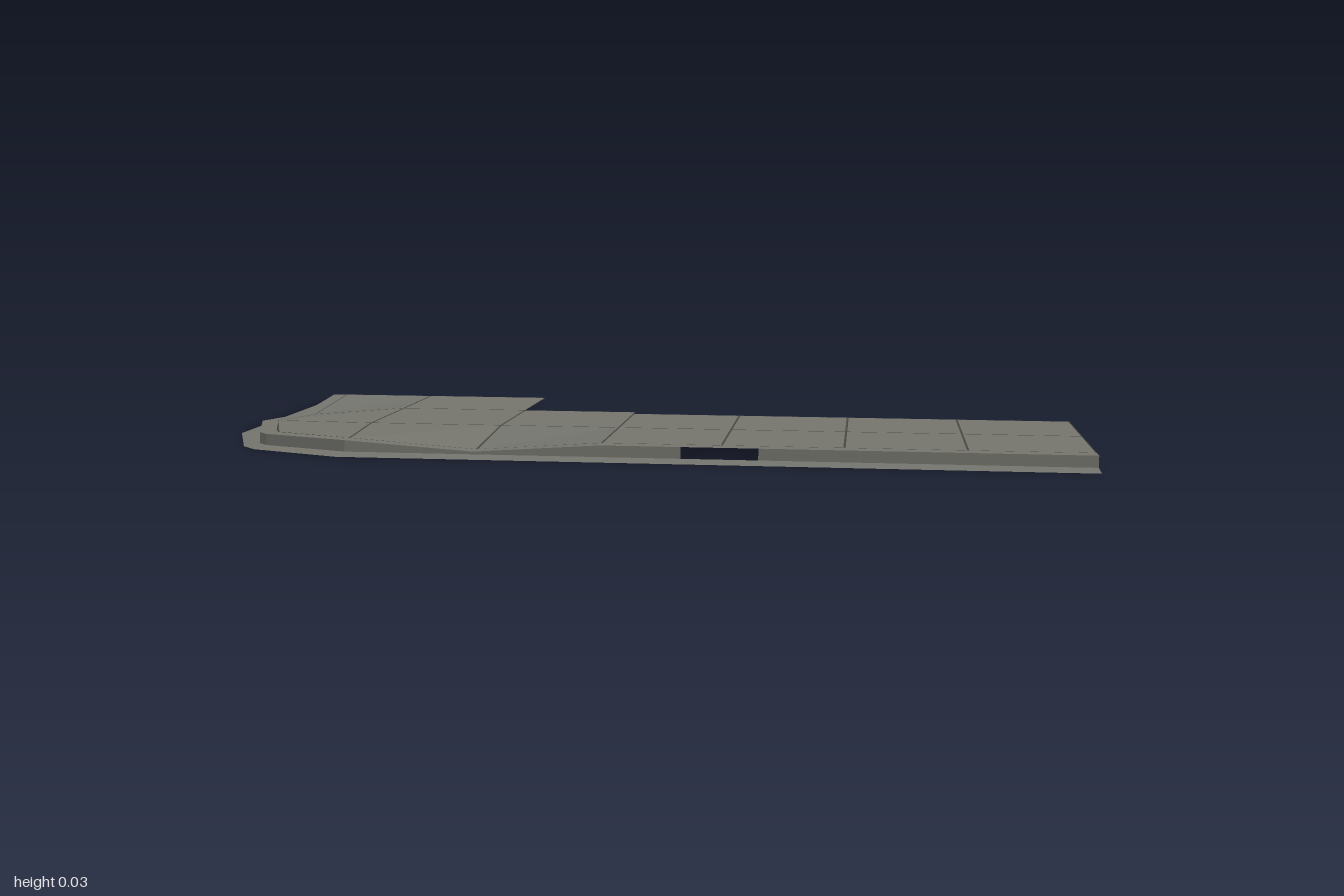
import * as THREE from 'three';

const concrete = new THREE.MeshStandardMaterial({ color: 0x74746d, side: THREE.DoubleSide });
concrete.name = 'concrete';
const jointDark = new THREE.MeshStandardMaterial({ color: 0x484843, side: THREE.DoubleSide });
jointDark.name = 'joint';

const TOP = 0.03, DIP = 0.01, JOINT = 0.0025;

// Mesh of separate flat quads, each given as four corners anticlockwise from outside
function quadMesh(name, quads, material) {
  const pos = [];
  for (const [a, b, c, d] of quads) pos.push(...a, ...b, ...c, ...a, ...c, ...d);
  const geo = new THREE.BufferGeometry();
  geo.setAttribute('position', new THREE.Float32BufferAttribute(pos, 3));
  geo.computeVertexNormals();
  const mesh = new THREE.Mesh(geo, material);
  mesh.name = name;
  return mesh;
}

// Quads joining two rails of equal length
function rails(a, b) {
  return a.slice(1).map((p, i) => [a[i], p, b[i + 1], b[i]]);
}

// Pull the corners of a tile towards its middle to leave room for the joint
function inset(q) {
  const cx = q.reduce((s, p) => s + p[0], 0) / 4;
  const cz = q.reduce((s, p) => s + p[2], 0) / 4;
  return q.map(([x, y, z]) => [x + Math.sign(cx - x) * JOINT, y, z + Math.sign(cz - z) * JOINT]);
}

export function createModel() {
  const group = new THREE.Group();
  group.name = 'pavementCorner';

  // Paving tiles: back rows, then the front row
  const tile = (x0, x1, z0, z1) => [[x0, TOP, z1], [x1, TOP, z1], [x1, TOP, z0], [x0, TOP, z0]];
  const columns = [-0.915, -0.675, -0.355, -0.07, 0.197, 0.465, 0.73, 1];
  const tiles = [];
  for (let i = 0; i < columns.length - 1; i++) {
    const x0 = columns[i], x1 = columns[i + 1];
    if (i < 2) tiles.push(tile(x0, x1, -0.435, -0.175));
    tiles.push(tile(x0, x1, i < 3 ? -0.175 : -0.145, 0.1));
    if (i > 0) tiles.push(tile(x0, x1, 0.1, 0.345));
  }
  // Corner tile, cut to the bend of the curb
  tiles.push([[-0.845, TOP, 0.275], [-0.65, TOP, 0.345], [-0.675, TOP, 0.1], [-0.915, TOP, 0.09]]);
  // Shared corners: bend the tiles to the corner and lower them at the two ramps
  for (const q of tiles) for (const p of q) {
    if (p[0] === -0.675 && p[2] === 0.345) p[0] = -0.65;
    if (p[0] === -0.915 && p[2] === 0.1) p[2] = 0.09;
    if ((p[0] === -0.355 && p[2] === 0.345) || (p[0] === -0.915 && p[2] === -0.175)) p[1] = DIP;
  }
  const inner = tiles.map(inset);
  const joints = tiles.flatMap((q, i) => q.map((p, k) => {
    const n = (k + 1) % 4;
    return [p, q[n], inner[i][n], inner[i][k]];
  }));
  group.add(quadMesh('pavingTiles', inner, concrete));
  group.add(quadMesh('tileJoints', joints, jointDark));

  // Stations along the curb: back edge, front edge, gutter edge (x, z each), height
  const straight = (x, y = TOP) => [x, 0.345, x, 0.38, x, 0.43, y];
  const side = (z, y = TOP) => [-0.915, z, -0.95, z, -1, z, y];
  const stations = [
    side(-0.435), side(-0.175, DIP),
    [-0.915, 0.09, -0.95, 0.1, -1, 0.11, TOP],
    [-0.85, 0.265, -0.885, 0.285, -0.915, 0.31, TOP],
    [-0.835, 0.28, -0.86, 0.31, -0.875, 0.35, TOP],
    [-0.65, 0.345, -0.65, 0.38, -0.655, 0.43, TOP],
    straight(-0.355, DIP), straight(-0.07), straight(0.11), straight(0.28), straight(1),
  ];
  const back = stations.map(s => [s[0], s[6], s[1]]);
  const lip = stations.map(s => [s[2], s[6], s[3]]);
  const foot = stations.map(s => [s[2], 0.004, s[3]]);
  const edge = stations.map(s => [s[4], 0, s[5]]);

  group.add(quadMesh('curbTop', rails(lip, back), concrete));
  // The face is open at the drain inlet, between x = 0.11 and 0.28
  const face = rails(foot, lip).filter((q, i) => i !== 8);
  group.add(quadMesh('curbFace', face, concrete));
  group.add(quadMesh('gutter', rails(edge, foot), concrete));

  return group;
}
